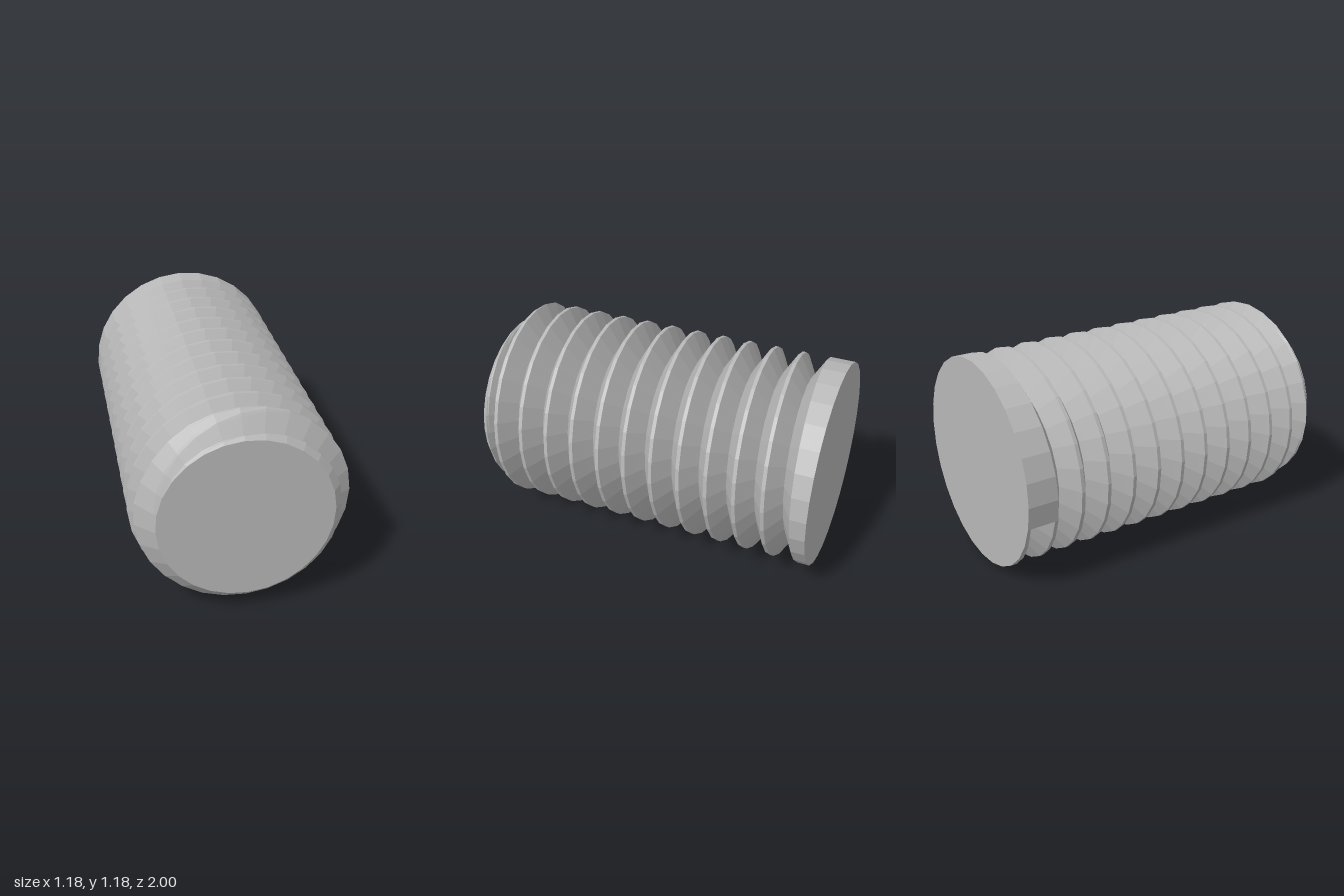
import * as THREE from 'three';

const R = 0.588, ROOT = 0.468, PITCH = 0.16, STEP = PITCH / 16, SIDES = 28;
const A0 = -165 * Math.PI / 180; // angle where the thread runs out

// axial position of the crest at angle a (right-handed helix)
const crestZ = a => 0.84 + PITCH * a / (2 * Math.PI);

// radius of the threaded surface: flat crest, V groove, chamfered tip, plain rear collar
function radiusAt(z, a) {
  const c = crestZ(a);
  if (z < c - 11 * PITCH) return R;
  const turns = (z - c) / PITCH;
  const d = Math.abs(turns - Math.round(turns)) * PITCH;
  const t = Math.max(0, (d - STEP) / (PITCH / 2 - STEP));
  return Math.min(R - (R - ROOT) * t, 0.47 + (1 - z));
}

const point = (a, r, z) => [Math.cos(a) * r, Math.sin(a) * r, z];

function geometryFrom(triangles) {
  const g = new THREE.BufferGeometry();
  g.setAttribute('position', new THREE.Float32BufferAttribute(triangles.flat(2), 3));
  g.computeVertexNormals();
  return g;
}

// helical grid whose rows follow the crest, clamped to the rod's ends
function threadGeometry() {
  const tris = [], J0 = -194, J1 = 25;
  const at = (i, j) => {
    const a = A0 + i / SIDES * Math.PI * 2;
    const z = THREE.MathUtils.clamp(crestZ(a) + j * STEP, -1, 1);
    return point(a, radiusAt(z, a), z);
  };
  const add = (p, q, s) => {
    const same = (u, v) => u.every((n, k) => Math.abs(n - v[k]) < 1e-6);
    if (!same(p, q) && !same(q, s) && !same(p, s)) tris.push([p, q, s]);
  };
  for (let i = 0; i < SIDES; i++) {
    for (let j = J0; j < J1; j++) {
      const p = at(i, j), q = at(i + 1, j), s = at(i + 1, j + 1), t = at(i, j + 1);
      add(p, q, s);
      add(p, s, t);
    }
  }
  return geometryFrom(tris);
}

// small wall closing the groove where it meets the collar
function runoutGeometry() {
  const tris = [], top = crestZ(A0) - 10 * PITCH;
  for (let k = 1; k < 15; k++) {
    const z1 = top - k * STEP, z0 = z1 - STEP;
    const p = point(A0, radiusAt(z0, A0), z0), q = point(A0, radiusAt(z1, A0), z1);
    const s = point(A0, R, z1), t = point(A0, R, z0);
    tris.push([p, q, s], [p, s, t]);
  }
  return geometryFrom(tris);
}

export function createModel() {
  const steel = new THREE.MeshStandardMaterial({ color: 0xb8b8b8 });
  steel.name = 'steel grey';
  steel.flatShading = true;

  const rod = new THREE.Group();
  rod.name = 'threadedRod';
  rod.position.y = R + 0.002;
  const add = (name, geometry) => {
    const mesh = new THREE.Mesh(geometry, steel);
    mesh.name = name;
    rod.add(mesh);
    return mesh;
  };

  add('thread', threadGeometry());
  add('threadRunout', runoutGeometry());
  add('frontFace', new THREE.CircleGeometry(0.47, SIDES, A0)).position.z = 1;
  const back = add('backFace', new THREE.CircleGeometry(R, SIDES, Math.PI - A0));
  back.rotation.y = Math.PI;
  back.position.z = -1;

  const model = new THREE.Group();
  model.name = 'threadedStud';
  model.add(rod);
  return model;
}
